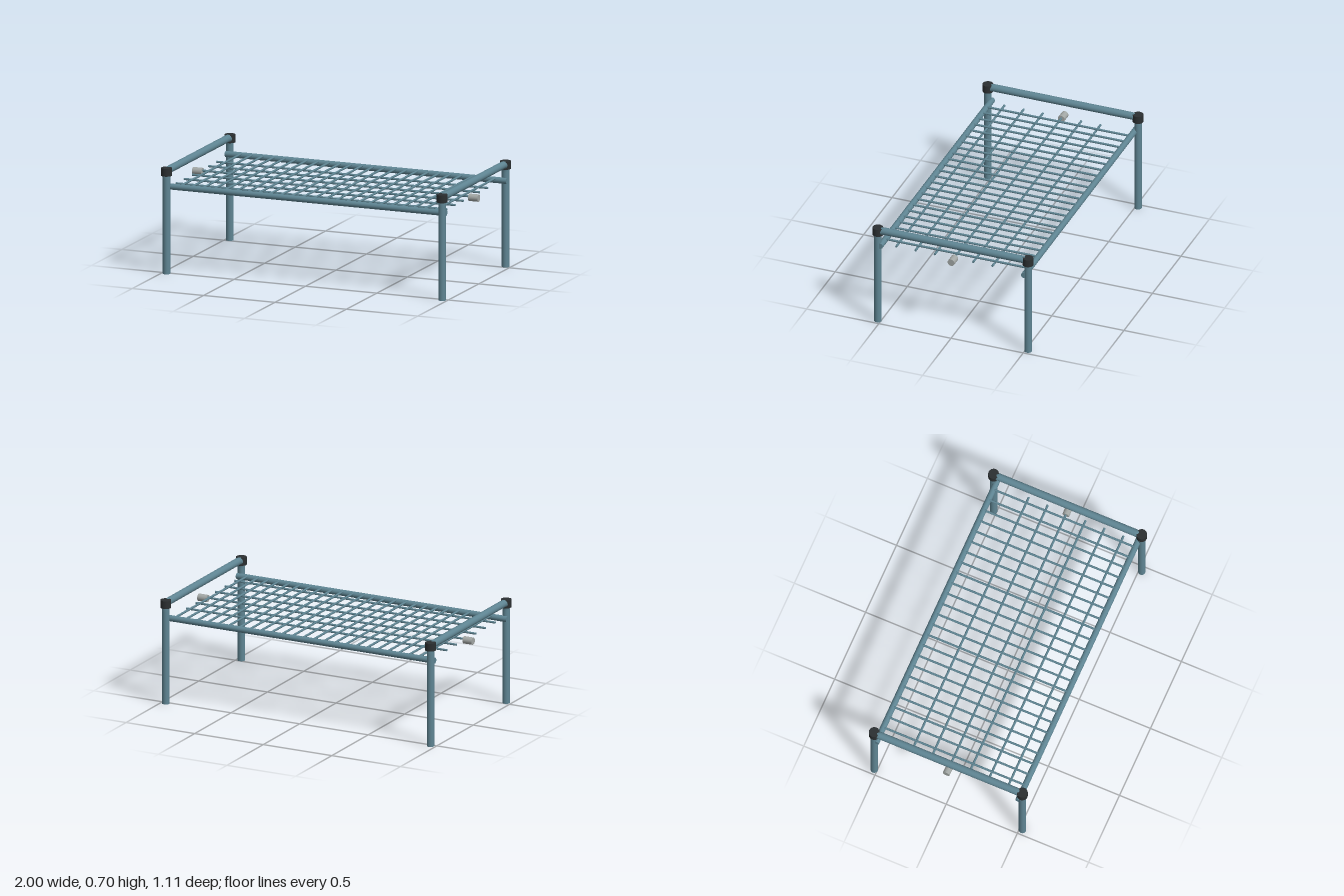
import * as THREE from 'three';

const paint = new THREE.MeshStandardMaterial({ color: 0x5f8593 });
const rubber = new THREE.MeshStandardMaterial({ color: 0x2b2f31 });
const steel = new THREE.MeshStandardMaterial({ color: 0xa3a8a6 });

const LEG_X = 0.965, LEG_Z = 0.52, LEG_R = 0.0245, RAIL_Y = 0.68;

// Round bar centred on a point and lying along the given axis
function bar(name, axis, radius, length, x, y, z, material = paint, sides = 16) {
  const mesh = new THREE.Mesh(new THREE.CylinderGeometry(radius, radius, length, sides), material);
  if (axis === 'x') mesh.rotation.z = Math.PI / 2;
  if (axis === 'z') mesh.rotation.x = Math.PI / 2;
  mesh.position.set(x, y, z);
  mesh.name = name;
  return mesh;
}

// One bent tube makes two legs and the rail joining them
function endFrame(x) {
  const group = new THREE.Group();
  group.name = 'endFrame';
  const p = (y, z) => new THREE.Vector3(x, y, z);
  const path = new THREE.CurvePath();
  path.add(new THREE.LineCurve3(p(0, LEG_Z), p(0.63, LEG_Z)));
  path.add(new THREE.QuadraticBezierCurve3(p(0.63, LEG_Z), p(RAIL_Y, LEG_Z), p(RAIL_Y, 0.475)));
  path.add(new THREE.LineCurve3(p(RAIL_Y, 0.475), p(RAIL_Y, -0.475)));
  path.add(new THREE.QuadraticBezierCurve3(p(RAIL_Y, -0.475), p(RAIL_Y, -LEG_Z), p(0.63, -LEG_Z)));
  path.add(new THREE.LineCurve3(p(0.63, -LEG_Z), p(0, -LEG_Z)));
  const tube = new THREE.Mesh(new THREE.TubeGeometry(path, 160, LEG_R, 20), paint);
  tube.name = 'legsAndEndRail';
  group.add(tube);

  for (const s of [-1, 1]) {
    // Corner cap and closed foot
    group.add(bar('cornerCap', 'y', 0.035, 0.052, x, 0.674, s * LEG_Z, rubber, 24));
    group.add(bar('foot', 'y', LEG_R, 0.004, x, 0.002, s * LEG_Z, paint, 20));
  }
  return group;
}

export function createModel() {
  const model = new THREE.Group();
  model.name = 'bedFrame';

  for (const s of [-1, 1]) {
    model.add(endFrame(s * LEG_X));
    model.add(bar('sideRail', 'x', 0.02, 1.97, 0, 0.573, s * 0.498, paint, 20));
    model.add(bar('endPeg', 'x', 0.024, 0.066, s * 0.967, 0.567, 0, steel, 24));
  }

  // Wire mesh: crosswise wires rest on the lengthwise ones
  const mesh = new THREE.Group();
  mesh.name = 'wireMesh';
  for (let i = 0; i < 24; i++) {
    mesh.add(bar('crossWire', 'z', 0.0075, 0.98, -0.873 + i * 0.0773, 0.585, 0, paint, 8));
  }
  for (let i = -2; i <= 3; i++) {
    mesh.add(bar('longWire', 'x', 0.0075, 1.9, 0, 0.573, i * 0.133, paint, 8));
  }
  model.add(mesh);
  return model;
}
